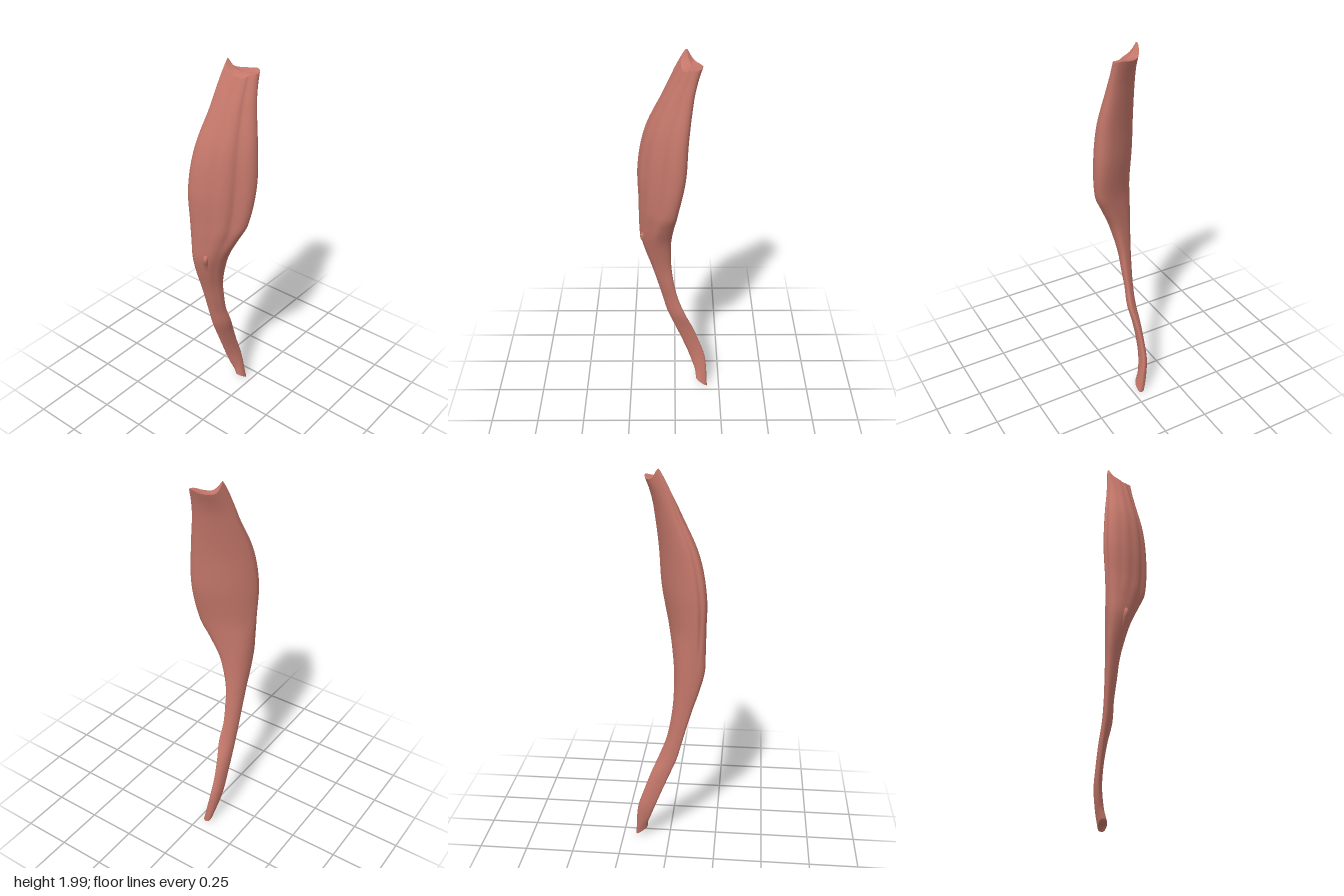
import * as THREE from 'three';

// Cross-sections: height, x min, x max, z min, z max, skew of the oval
const SECTIONS = [
  [0.03, -0.068, -0.024, -0.184, -0.120, -0.1],
  [0.10, -0.086, -0.041, -0.179, -0.112, -0.25],
  [0.20, -0.101, -0.058, -0.166, -0.080, -0.35],
  [0.30, -0.103, -0.062, -0.133, -0.042, -0.4],
  [0.40, -0.103, -0.055, -0.096, -0.002, -0.45],
  [0.50, -0.101, -0.040, -0.053, 0.038, -0.55],
  [0.60, -0.103, -0.043, -0.016, 0.066, -0.55],
  [0.70, -0.107, -0.037, 0.006, 0.093, -0.48],
  [0.80, -0.111, -0.030, 0.019, 0.122, -0.42],
  [0.90, -0.117, -0.009, 0.023, 0.154, -0.4],
  [1.00, -0.122, 0.022, 0.020, 0.178, -0.4],
  [1.10, -0.126, 0.070, 0.006, 0.182, -0.5],
  [1.20, -0.131, 0.116, -0.015, 0.185, -0.6],
  [1.40, -0.140, 0.138, -0.053, 0.186, -0.63],
  [1.60, -0.126, 0.128, -0.066, 0.147, -0.62],
  [1.80, -0.092, 0.096, -0.088, 0.054, -0.6],
  [1.88, -0.077, 0.086, -0.106, 0.012, -0.54],
  [1.945, -0.065, 0.082, -0.128, -0.025, -0.4],
];
const SEGMENTS = 72, ROWS = 110;

// Smooth interpolation through the section table
function sectionAt(y) {
  let i = 0;
  while (i < SECTIONS.length - 2 && y > SECTIONS[i + 1][0]) i++;
  const slope = (k, c) => {
    const a = SECTIONS[Math.max(k - 1, 0)], b = SECTIONS[Math.min(k + 1, SECTIONS.length - 1)];
    return (b[c] - a[c]) / (b[0] - a[0]);
  };
  const p = SECTIONS[i], q = SECTIONS[i + 1], h = q[0] - p[0], s = (y - p[0]) / h;
  const s2 = s * s, s3 = s2 * s;
  return [1, 2, 3, 4, 5].map(c =>
    (2 * s3 - 3 * s2 + 1) * p[c] + (s3 - 2 * s2 + s) * h * slope(i, c) +
    (3 * s2 - 2 * s3) * q[c] + (s3 - s2) * h * slope(i + 1, c));
}

// Bell curve around an angle, in degrees
function bell(t, centre, width) {
  let d = THREE.MathUtils.radToDeg(t) - centre;
  d -= 360 * Math.round(d / 360);
  return Math.exp(-((d / width) ** 2));
}

function surfacePoint(y, t) {
  const [x0, x1, z0, z1, skew] = sectionAt(y);
  const belly = THREE.MathUtils.smoothstep(y, 1.0, 1.25);
  // long grooves between the muscle strands; the tendon is a little boxier
  const k = 1 + 0.06 * (1 - belly) * Math.sin(2 * t) ** 2
    - (0.06 + 0.12 * belly) * bell(t, -42, 14)
    - 0.05 * belly * bell(t, -85, 9)
    - 0.03 * belly * bell(t, -115, 8)
    - 0.06 * belly * bell(t, -168, 8)
    - 0.04 * bell(t, 80, 30);
  const nx = Math.cos(t) * k;
  const nz = (skew * Math.cos(t) - Math.sqrt(1 - skew * skew) * Math.sin(t)) * k;
  // raised corner and lower front at the top rim, slanted cut at the bottom
  const top = THREE.MathUtils.smoothstep(y, 1.75, 1.945);
  const bottom = 1 - THREE.MathUtils.smoothstep(y, 0.03, 0.15);
  const lift = top * (0.055 * bell(t, -172, 30) + 0.01 * bell(t, 50, 35) - 0.02 * bell(t, -75, 35))
    + bottom * 0.026 * nz;
  return [(x0 + x1) / 2 + nx * (x1 - x0) / 2, y + lift, (z0 + z1) / 2 + nz * (z1 - z0) / 2];
}

function buildGeometry(positions, indices) {
  const g = new THREE.BufferGeometry();
  g.setAttribute('position', new THREE.Float32BufferAttribute(positions, 3));
  g.setIndex(indices);
  g.computeVertexNormals();
  return g;
}

const Y0 = SECTIONS[0][0], Y1 = SECTIONS[SECTIONS.length - 1][0];
const angle = j => (j / SEGMENTS) * Math.PI * 2;

function sideGeometry() {
  const pos = [], idx = [];
  for (let i = 0; i <= ROWS; i++) {
    for (let j = 0; j < SEGMENTS; j++) pos.push(...surfacePoint(Y0 + (Y1 - Y0) * i / ROWS, angle(j)));
  }
  for (let i = 0; i < ROWS; i++) {
    for (let j = 0; j < SEGMENTS; j++) {
      const a = i * SEGMENTS + j, b = i * SEGMENTS + (j + 1) % SEGMENTS;
      idx.push(a, b, b + SEGMENTS, a, b + SEGMENTS, a + SEGMENTS);
    }
  }
  return buildGeometry(pos, idx);
}

// Dished end: the rim shrinks in rings towards its centre
function endGeometry(y, depth, up) {
  const rings = 5, pos = [], idx = [];
  const [x0, x1, z0, z1] = sectionAt(y);
  const centre = [(x0 + x1) / 2, y - depth, (z0 + z1) / 2];
  for (let i = 0; i <= rings; i++) {
    const s = 1 - i / rings;
    for (let j = 0; j < SEGMENTS; j++) {
      const p = surfacePoint(y, angle(j));
      pos.push(centre[0] + (p[0] - centre[0]) * s, centre[1] + (p[1] - centre[1]) * s * s,
        centre[2] + (p[2] - centre[2]) * s);
    }
  }
  for (let i = 0; i < rings; i++) {
    for (let j = 0; j < SEGMENTS; j++) {
      const a = i * SEGMENTS + j, b = i * SEGMENTS + (j + 1) % SEGMENTS;
      const c = a + SEGMENTS, d = b + SEGMENTS;
      if (up) idx.push(a, b, d, a, d, c);
      else idx.push(a, d, b, a, c, d);
    }
  }
  return buildGeometry(pos, idx);
}

export function createModel() {
  const group = new THREE.Group();
  group.name = 'muscle';
  const flesh = new THREE.MeshStandardMaterial({ color: 0xc4776a });
  flesh.name = 'flesh';
  const add = (name, geometry) => {
    const mesh = new THREE.Mesh(geometry, flesh);
    mesh.name = name;
    group.add(mesh);
  };

  add('bellyAndTendon', sideGeometry());
  add('upperEnd', endGeometry(Y1, 0.004, true));
  add('lowerEnd', endGeometry(Y0, -0.004, false));

  // small hooked strand where the belly meets the tendon, sunk into the surface
  const path = new THREE.CatmullRomCurve3([
    new THREE.Vector3(-0.055, 0.90, 0.125),
    new THREE.Vector3(-0.042, 0.97, 0.149),
    new THREE.Vector3(-0.031, 1.02, 0.166),
    new THREE.Vector3(-0.036, 1.045, 0.145),
  ]);
  add('hookedStrand', new THREE.TubeGeometry(path, 20, 0.013, 12));
  return group;
}
